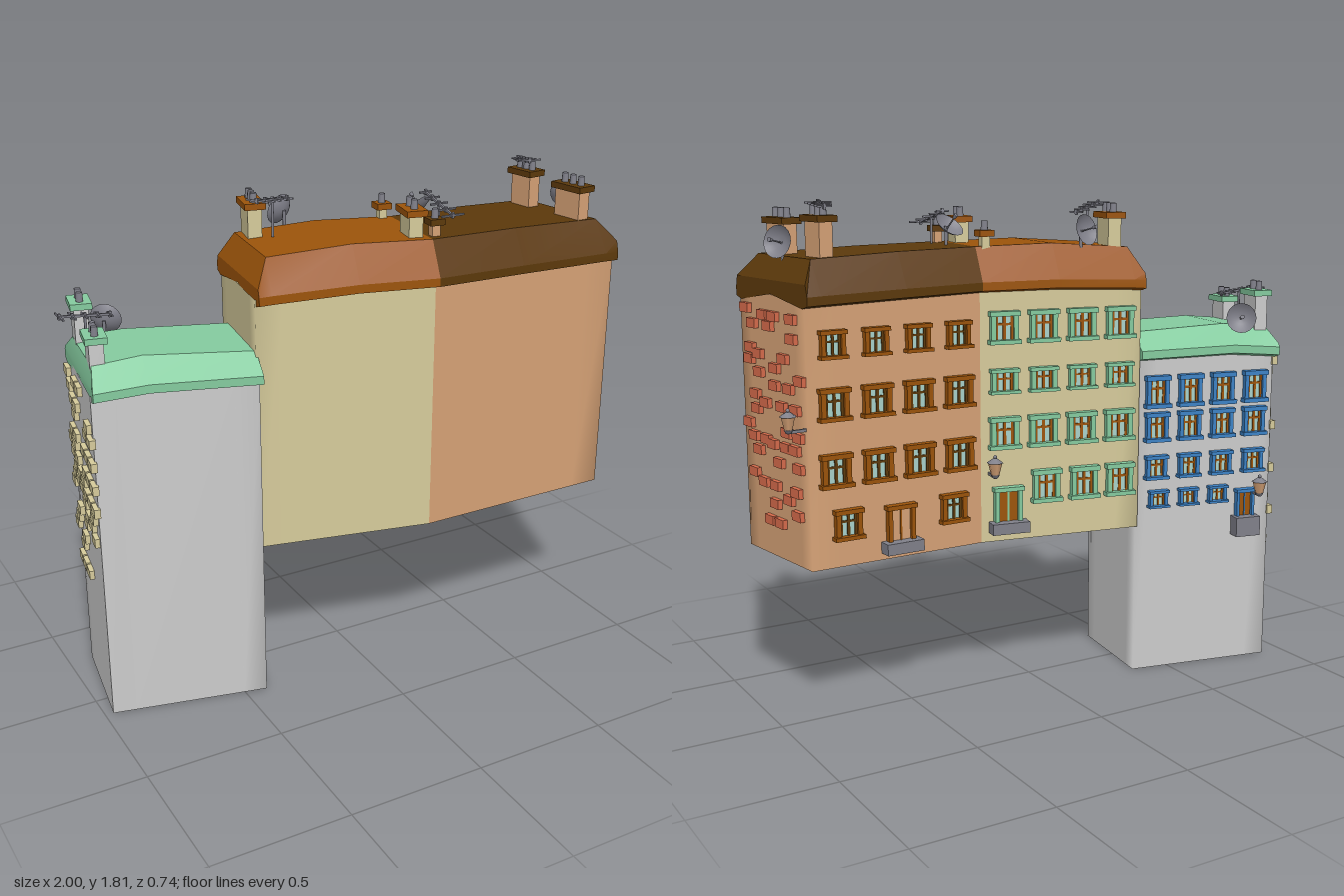
import * as THREE from 'three';
import { toCreasedNormals } from 'three/addons/utils/BufferGeometryUtils.js';

const mat = (name, color) => new THREE.MeshStandardMaterial({ name, color, side: THREE.DoubleSide });
const M = {
  grey: mat('greyPlaster', 0xcccccc), cream: mat('creamPlaster', 0xd6cb9b), tan: mat('tanPlaster', 0xd6a276),
  orange: mat('orangeBrown', 0x9c540a), brown: mat('darkBrown', 0x5c390b), green: mat('mintGreen', 0x85cb9f),
  red: mat('redBrick', 0xd86c4c), blue: mat('blueFrame', 0x3c82c6), metal: mat('metalGrey', 0x80808a), glass: mat('paleGlass', 0xa9d3cb),
};

export function createModel() {
  const model = new THREE.Group();
  model.name = 'terracedHouses';

  const add = (parent, name, geo, m, x = 0, y = 0, z = 0) => {
    const mesh = new THREE.Mesh(geo, m);
    mesh.name = name;
    mesh.position.set(x, y, z);
    parent.add(mesh);
    return mesh;
  };
  const box = (p, name, m, w, h, d, x, y, z) => add(p, name, new THREE.BoxGeometry(w, h, d), m, x, y, z);
  const group = (parent, name, x = 0, y = 0, z = 0, ry = 0) => {
    const g = new THREE.Group();
    g.name = name;
    g.position.set(x, y, z);
    g.rotation.y = ry;
    parent.add(g);
    return g;
  };
  const loft = (rings) => {
    const n = rings[0].length, pos = rings.flat(2), idx = [];
    for (let i = 0; i < rings.length - 1; i++) for (let j = 0; j < n - 1; j++) {
      const a = i * n + j, b = a + n;
      idx.push(a, b, b + 1, a, b + 1, a + 1);
    }
    const g = new THREE.BufferGeometry();
    g.setAttribute('position', new THREE.Float32BufferAttribute(pos, 3));
    g.setIndex(idx);
    return g;
  };

  // Walls: open shells, softly shaded near the corners
  const walls = (name, m, pts, y0, y1) => {
    const line = [];
    pts.forEach(([x, z], i) => {
      line.push([x, z]);
      if (i === pts.length - 1) return;
      const [x2, z2] = pts[i + 1];
      for (const t of [0.15, 0.85]) line.push([x + (x2 - x) * t, z + (z2 - z) * t]);
    });
    const g = loft(line.map(([x, z]) => [[x, y0, z], [x, y1, z]]));
    g.computeVertexNormals();
    add(model, name, g, m);
  };
  const GFL = [-0.97, 0.1], GFR = [-0.42, 0.225], GBR = [-0.36, -0.18], GBL = [-0.91, -0.295];
  const MFL = [-0.42, 0.2], MFR = [0.2, 0.335], MBR = [0.25, -0.085], MBL = [-0.36, -0.195];
  const TFR = [0.97, 0.33], TBR = [0.91, -0.105];
  walls('greyHouseWalls', M.grey, [GFL, GFR, GBR, GBL, GFL], 0, 1.22);
  walls('creamHouseWalls', M.cream, [MBR, MBL, MFL, MFR], 0.575, 1.49);
  walls('tanHouseWalls', M.tan, [MFR, TFR, TBR, MBR], 0.575, 1.49);

  // Roofs: sections along the house, each [front, back, eaveY, topY, inset]
  const roof = (name, m, stations, capStart, capEnd) => {
    const rings = stations.map(([[fx, fz], [bx, bz], y, top, inset]) => {
      const len = Math.hypot(fx - bx, fz - bz);
      const at = (d, h) => [fx + (bx - fx) * d / len, h, fz + (bz - fz) * d / len];
      const lip = Math.min(y + 0.03, top - 0.01);
      return [at(0.035, y - 0.01), at(0, y), at(0, lip), at(inset, top),
        at(len - inset, top), at(len, lip), at(len, y), at(len - 0.035, y - 0.01)];
    });
    const end = (r) => r.map(() => r.reduce((s, p) => s.map((v, k) => v + p[k] / r.length), [0, 0, 0]));
    if (capStart) rings.unshift(end(rings[0]));
    if (capEnd) rings.push(end(rings[rings.length - 1]));
    add(model, name, toCreasedNormals(loft(rings), 0.45), m);
  };
  roof('greyHouseRoof', M.green, [
    [[-0.97, 0.13], [-0.905, -0.34], 1.205, 1.25, 0.01],
    [[-0.955, 0.135], [-0.89, -0.335], 1.207, 1.305, 0.08],
    [[-0.79, 0.17], [-0.725, -0.295], 1.22, 1.322, 0.09],
    [[-0.42, 0.26], [-0.36, -0.21], 1.212, 1.305, 0.08]], true, true);
  const seam = [[0.2, 0.362], [0.25, -0.108], 1.485, 1.635, 0.065];
  roof('creamHouseRoof', M.orange, [
    [[-0.42, 0.235], [-0.36, -0.228], 1.475, 1.53, 0.01],
    [[-0.375, 0.245], [-0.315, -0.22], 1.478, 1.622, 0.065],
    [[-0.08, 0.303], [-0.03, -0.165], 1.488, 1.642, 0.065], seam], true, false);
  roof('tanHouseRoof', M.brown, [seam,
    [[0.55, 0.36], [0.55, -0.125], 1.48, 1.63, 0.065],
    [[0.92, 0.355], [0.86, -0.135], 1.472, 1.617, 0.065],
    [[0.975, 0.355], [0.91, -0.135], 1.47, 1.54, 0.01]], false, true);

  // Wall frames: local x runs along the wall, local z points outwards
  const wallFrame = (name, [px, pz], [qx, qz]) => {
    const g = group(model, name, px, 0, pz, Math.atan2(pz - qz, qx - px));
    g.userData.len = Math.hypot(qx - px, qz - pz);
    return g;
  };
  const windowUnit = (wall, u, y, w, h, frame, sash) => {
    const g = group(wall, 'window', u * wall.userData.len, y, 0);
    box(g, 'pane', M.glass, w * 0.7, h * 0.85, 0.008, 0, 0, 0.004);
    box(g, 'sashUpright', sash, w * 0.1, h * 0.85, 0.012, 0, 0, 0.006);
    box(g, 'sashRail', sash, w * 0.7, h * 0.07, 0.012, 0, h * 0.1, 0.006);
    for (const s of [-1, 1]) {
      box(g, 'sashSide', sash, w * 0.09, h * 0.8, 0.012, s * w * 0.27, 0, 0.006);
      box(g, 'jamb', frame, w * 0.17, h * 0.9, 0.022, s * w * 0.4, 0, 0.011);
    }
    box(g, 'lintel', frame, w * 1.08, h * 0.15, 0.028, 0, h * 0.43, 0.014);
    box(g, 'sill', frame, w * 1.12, h * 0.13, 0.032, 0, -h * 0.44, 0.016);
  };
  const door = (wall, u, y, w, h, frame, leaf, step) => {
    const g = group(wall, 'door', u * wall.userData.len, y, 0);
    box(g, 'doorLeaf', leaf, w * 0.75, h, 0.01, 0, 0, 0.005);
    box(g, 'doorGap', frame, w * 0.06, h, 0.014, 0, 0, 0.007);
    for (const s of [-1, 1]) box(g, 'doorJamb', frame, w * 0.15, h, 0.024, s * w * 0.42, 0, 0.012);
    box(g, 'doorLintel', frame, w * 1.1, h * 0.13, 0.03, 0, h / 2, 0.015);
    box(g, 'doorstep', M.metal, w * 1.35, step, 0.05, 0, -h / 2 - step / 2, 0.025);
  };
  const lamp = (wall, u, y) => {
    const g = group(wall, 'wallLamp', u * wall.userData.len, y, 0.065);
    add(g, 'lampGlass', new THREE.CylinderGeometry(0.026, 0.015, 0.045, 6), M.tan);
    add(g, 'lampCap', new THREE.CylinderGeometry(0.008, 0.031, 0.016, 6), M.metal, 0, 0.03);
    add(g, 'lampFinial', new THREE.SphereGeometry(0.007, 8, 6), M.metal, 0, 0.043);
    add(g, 'lampBase', new THREE.CylinderGeometry(0.017, 0.01, 0.012, 6), M.metal, 0, -0.027);
    box(g, 'lampArm', M.metal, 0.01, 0.01, 0.07, 0, -0.03, -0.03);
  };

  // Street sides with their rows of windows: [y, width, height, positions]
  const even = [0.14, 0.38, 0.62, 0.86];
  const street = (name, a, b, frame, sash, rows) => {
    const wall = wallFrame(name, a, b);
    for (const [y, w, h, us] of rows) for (const u of us) windowUnit(wall, u, y, w, h, frame, sash);
    return wall;
  };
  const greyStreet = street('greyHouseStreetSide', GBR, GBL, M.blue, M.orange, [
    [1.086, 0.092, 0.12, even], [0.952, 0.09, 0.11, even], [0.798, 0.085, 0.09, even], [0.675, 0.075, 0.065, [0.16, 0.38, 0.6]]]);
  door(greyStreet, 0.81, 0.63, 0.075, 0.1, M.blue, M.orange, 0.075);
  lamp(greyStreet, 0.87, 0.7);
  const creamStreet = street('creamHouseStreetSide', MBR, MBL, M.green, M.orange, [
    [1.354, 0.105, 0.115, even], [1.163, 0.1, 0.088, even], [0.976, 0.108, 0.115, even], [0.77, 0.105, 0.12, [0.4, 0.64, 0.87]]]);
  door(creamStreet, 0.16, 0.71, 0.105, 0.12, M.green, M.orange, 0.04);
  lamp(creamStreet, 0.05, 0.86);
  const tanStreet = street('tanHouseStreetSide', TBR, MBR, M.orange, M.brown, [
    [1.34, 0.09, 0.095, even], [1.14, 0.105, 0.11, even], [0.915, 0.108, 0.115, even], [0.725, 0.1, 0.105, [0.2, 0.82]]]);
  door(tanStreet, 0.5, 0.7, 0.105, 0.12, M.orange, M.tan, 0.04);

  // Exposed bricks on the end walls
  const brick = (wall, m, u, y) => box(wall, 'brick', m, 0.058, 0.033, 0.022, u, y, 0.006);
  const tanEnd = wallFrame('tanHouseEndWall', TFR, TBR);
  lamp(tanEnd, 0.97, 1.09);
  const redRows = [ // y, then z positions
    [1.435, 0.28], [1.42, 0.16, 0.09, -0.03], [1.385, 0.235, 0.125], [1.355, -0.03], [1.3, 0.255], [1.283, 0.2, 0.03],
    [1.26, 0.265], [1.245, 0.09], [1.22, 0.2, -0.075], [1.185, 0.095, 0], [1.14, 0.23], [1.118, 0.16, 0.05, -0.04],
    [1.09, 0.225], [1.033, 0.285, 0.02], [1.027, -0.055], [0.99, 0.25, 0.165], [0.98, 0.12, 0.03, -0.03],
    [0.945, 0.22], [0.92, 0.08, -0.05], [0.86, 0.255], [0.835, 0.19, 0.11, -0.03], [0.8, 0.02], [0.77, 0.115],
    [0.755, -0.035], [0.705, 0.155, 0.085]];
  for (const [y, ...zs] of redRows) for (const z of zs)
    brick(tanEnd, M.red, (TFR[1] - z) / (TFR[1] - TBR[1]) * tanEnd.userData.len, y);
  let seed = 7;
  const rand = () => (seed = (seed * 16807) % 2147483647) / 2147483647;
  const greyEnd = wallFrame('greyHouseEndWall', GBL, GFL);
  for (let r = 0; r < 18; r++) for (let c = 0; c < 6; c++) {
    const y = 1.18 - r * 0.042;
    if (rand() < (y > 0.65 ? 0.52 : c < 3 ? 0.35 : 0)) brick(greyEnd, M.cream, 0.02 + c * 0.067 + (r % 2) * 0.033, y);
  }

  // Chimneys with caps and pots
  const chimney = (x, y, z, ry, len, h, pots, m, cap, w = 0.05) => {
    const g = group(model, 'chimney', x, y, z, ry);
    box(g, 'chimneyStack', m, w, h + 0.06, len, 0, h / 2 - 0.03, 0);
    box(g, 'chimneyCap', cap, w + 0.025, 0.022, len + 0.025, 0, h, 0);
    for (let i = 0; i < pots; i++)
      add(g, 'chimneyPot', new THREE.CylinderGeometry(0.011, 0.013, 0.035, 10), M.metal, 0, h + 0.026, (i - (pots - 1) / 2) * len / pots);
  };
  chimney(-0.88, 1.31, -0.22, -0.2, 0.09, 0.125, 2, M.grey, M.green);
  chimney(-0.915, 1.31, 0.015, -0.2, 0.09, 0.08, 2, M.grey, M.green);
  chimney(-0.285, 1.625, -0.095, -0.21, 0.105, 0.11, 3, M.cream, M.orange);
  chimney(0.175, 1.63, 0.21, -0.21, 0.095, 0.09, 2, M.cream, M.orange);
  chimney(0.205, 1.63, -0.04, -0.1, 0.03, 0.05, 1, M.cream, M.orange, 0.03);
  chimney(0.24, 1.62, 0.255, -0.1, 0.03, 0.065, 1, M.tan, M.brown, 0.03);
  chimney(0.81, 1.62, -0.005, 0.13, 0.095, 0.125, 3, M.tan, M.brown);
  chimney(0.85, 1.615, 0.225, 0.13, 0.12, 0.115, 3, M.tan, M.brown);

  // Satellite dishes
  const bowl = new THREE.LatheGeometry([[0.001, -0.016], [0.022, -0.013], [0.042, -0.004], [0.056, 0.008]].map(([x, y]) => new THREE.Vector2(x, y)), 20);
  const dish = (x, y, z, dir) => {
    const g = group(model, 'satelliteDish', x, y, z);
    const head = group(g, 'dishHead');
    head.quaternion.setFromUnitVectors(new THREE.Vector3(0, 1, 0), new THREE.Vector3(...dir).normalize());
    add(head, 'dishBowl', bowl, M.metal);
    add(head, 'dishArm', new THREE.CylinderGeometry(0.003, 0.003, 0.06, 6), M.metal, 0, 0.014);
    add(head, 'dishReceiver', new THREE.CylinderGeometry(0.008, 0.006, 0.014, 8), M.metal, 0, 0.046);
    add(g, 'dishPost', new THREE.CylinderGeometry(0.006, 0.006, 0.08, 8), M.metal, -dir[0] * 0.02, -0.04, -dir[2] * 0.02);
  };
  dish(-0.775, 1.345, -0.265, [0.55, 0.2, -0.8]);
  dish(-0.15, 1.685, -0.14, [-0.3, 0.25, -0.9]);
  dish(0.275, 1.7, 0.095, [-0.25, 0.7, -0.55]);
  dish(0.91, 1.665, 0.1, [0.8, 0.2, -0.5]);

  // Roof aerials: mast, boom and cross rods
  const aerial = (x, y, z, ry, h, len, tilt) => {
    const g = group(model, 'aerial', x, y, z, ry);
    add(g, 'aerialMast', new THREE.CylinderGeometry(0.005, 0.005, h, 6), M.metal, 0, h / 2);
    const head = group(g, 'aerialHead', 0, h, 0);
    head.rotation.z = tilt;
    box(head, 'aerialBoom', M.metal, len, 0.008, 0.008, 0, 0, 0);
    for (let i = 0; i < 5; i++) {
      const rod = 0.09 - i * 0.01;
      box(head, 'aerialRod', M.metal, 0.006, 0.006, rod, (i / 4 - 0.5) * len * 0.95, 0, 0);
      box(head, 'aerialClip', M.metal, 0.009, 0.02, 0.009, (i / 4 - 0.5) * len * 0.95, 0, 0);
    }
  };
  aerial(-0.905, 1.31, -0.09, 0, 0.12, 0.185, -0.1);
  aerial(-0.245, 1.63, -0.01, 0.55, 0.13, 0.2, -0.15);
  aerial(0.285, 1.62, 0.21, Math.PI / 2, 0.11, 0.19, 0.25);
  aerial(0.8, 1.74, -0.01, 1.4, 0.05, 0.1, -0.1);

  return model;
}
